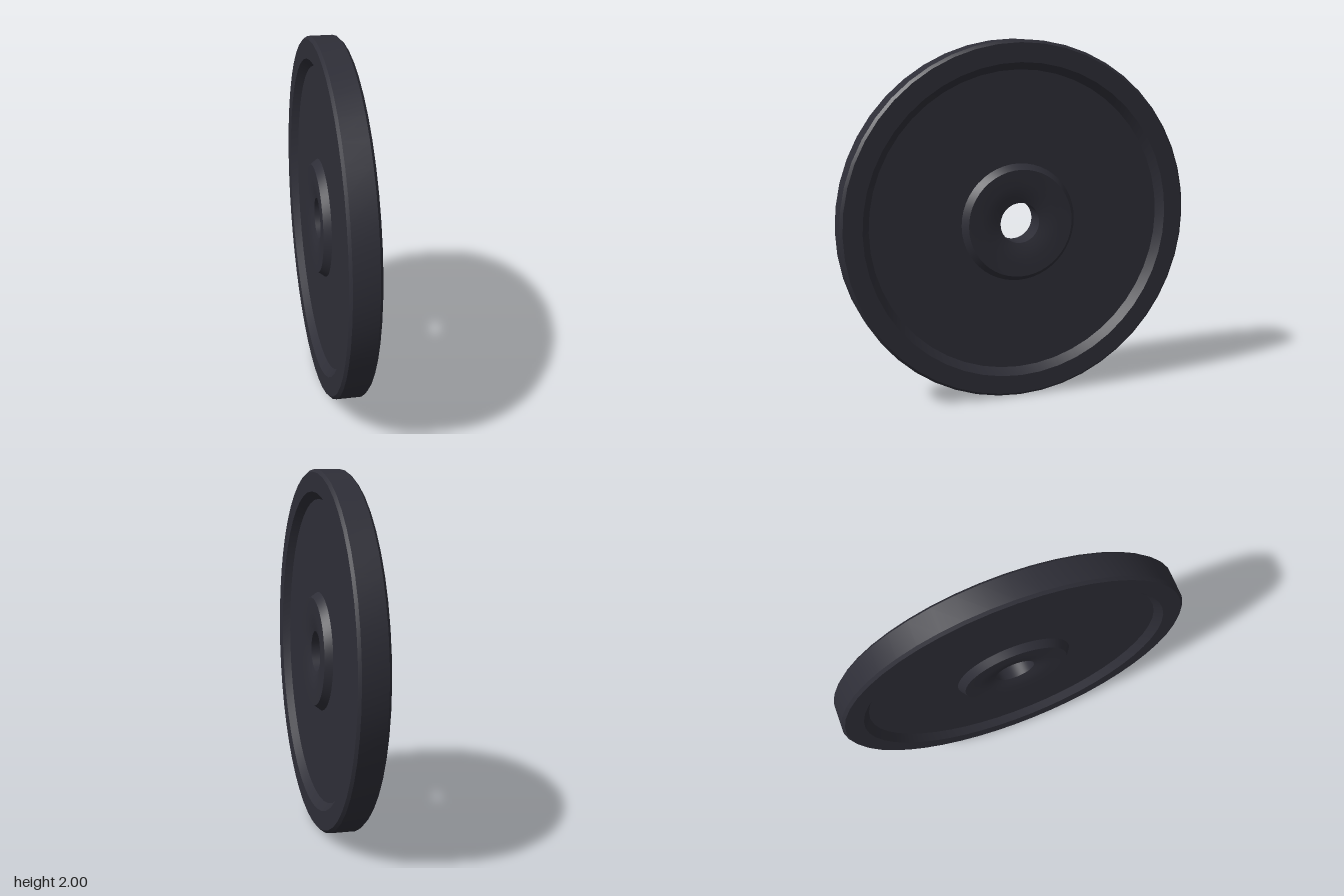
import * as THREE from 'three';
import { toCreasedNormals } from 'three/addons/utils/BufferGeometryUtils.js';

const SEGMENTS = 48;
const FACE = 0.082; // half thickness at rim and hub
const WEB = 0.042;  // half thickness of the recessed disc

export function createModel() {
  const iron = new THREE.MeshStandardMaterial({ color: 0x2e2e37 });
  iron.name = 'darkIron';

  // Revolves [radius, offset] points; the axis is turned to x afterwards
  const revolve = (name, points) => {
    const profile = points.map(([r, h]) => new THREE.Vector2(r, h));
    const geometry = toCreasedNormals(new THREE.LatheGeometry(profile, SEGMENTS), 0.5);
    const mesh = new THREE.Mesh(geometry, iron);
    mesh.name = name;
    return mesh;
  };
  // Appends the same profile mirrored to the other side of the disc
  const mirrored = (half) => [...half, ...half.map(([r, h]) => [r, -h]).reverse()];

  const plate = new THREE.Group();
  plate.name = 'weightPlate';

  // Raised outer rim with chamfered edges and sloped inner walls
  plate.add(revolve('rim', mirrored([
    [0.84, -WEB], [0.88, -FACE], [0.985, -FACE], [1, -FACE + 0.015],
  ])));

  // Recessed disc on both sides
  plate.add(revolve('leftWeb', [[0.84, WEB], [0.33, WEB]]));
  plate.add(revolve('rightWeb', [[0.33, -WEB], [0.84, -WEB]]));

  // Raised hub, dished gently into the centre hole
  plate.add(revolve('hub', mirrored([
    [0.33, WEB], [0.30, FACE], [0.22, 0.08], [0.16, 0.074], [0.113, 0.062],
  ])));

  plate.rotation.z = -Math.PI / 2;
  plate.position.y = 1;

  const model = new THREE.Group();
  model.name = 'model';
  model.add(plate);
  return model;
}
